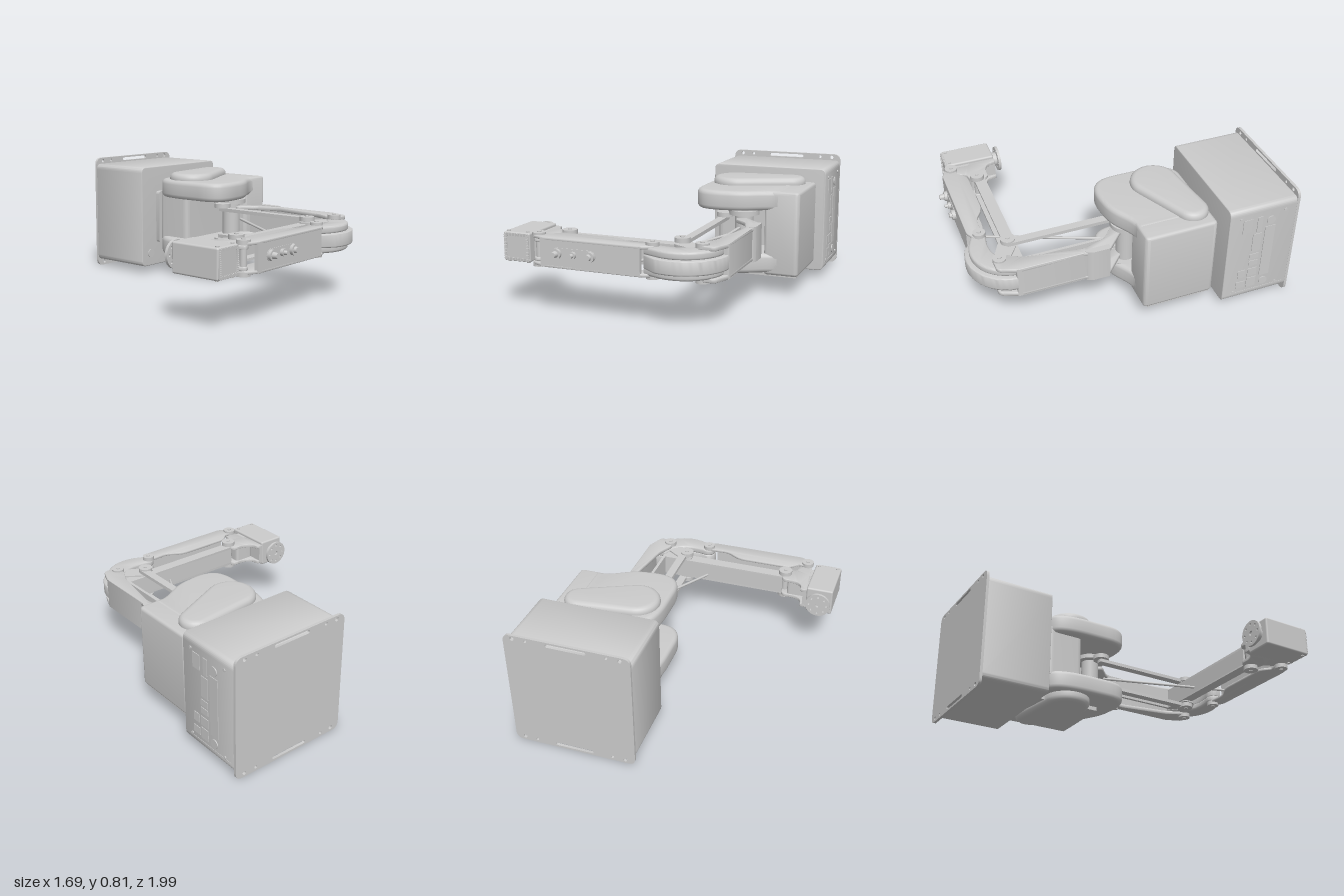
import * as THREE from 'three';
import { toCreasedNormals } from 'three/addons/utils/BufferGeometryUtils.js';
import { RoundedBoxGeometry } from 'three/addons/geometries/RoundedBoxGeometry.js';

const grey = new THREE.MeshStandardMaterial({ color: 0xcccccc, side: THREE.DoubleSide });
const MID = 0.4; // height of the arm's centre plane

// Closed outline through points [x, y, cornerRadius]
function outline(pts, r = 0) {
  const s = new THREE.Shape();
  const v = pts.map(p => new THREE.Vector2(p[0], p[1]));
  v.forEach((p, i) => {
    const a = v[(i + v.length - 1) % v.length], b = v[(i + 1) % v.length];
    const k = pts[i][2] ?? r;
    const p0 = p.clone().lerp(a, Math.min(0.5, k / p.distanceTo(a)));
    const p1 = p.clone().lerp(b, Math.min(0.5, k / p.distanceTo(b)));
    if (i) s.lineTo(p0.x, p0.y); else s.moveTo(p0.x, p0.y);
    if (k) s.quadraticCurveTo(p.x, p.y, p1.x, p1.y);
  });
  s.closePath();
  return s;
}
const rect = (x0, y0, x1, y1, r) => outline([[x0, y0], [x1, y0], [x1, y1], [x0, y1]], r);

// Outline around two circles
function hull(ax, ay, ra, bx, by, rb) {
  const t = Math.atan2(by - ay, bx - ax);
  const f = Math.acos((ra - rb) / Math.hypot(bx - ax, by - ay));
  const s = new THREE.Shape();
  s.absarc(ax, ay, ra, t + f, t - f + Math.PI * 2, false);
  s.absarc(bx, by, rb, t - f, t + f, false);
  s.closePath();
  return s;
}
function hole(shape, x, y, r) {
  shape.holes.push(new THREE.Path().absarc(x, y, r, 0, Math.PI * 2, true));
}

export function createModel() {
  const model = new THREE.Group();
  const add = (name, geo, x = 0, y = 0, z = 0) => {
    const m = new THREE.Mesh(geo, grey);
    m.name = name;
    m.position.set(x, y, z);
    model.add(m);
    return m;
  };
  const extrude = (shape, depth, bevel) => {
    const g = new THREE.ExtrudeGeometry(shape, {
      depth: depth - 2 * bevel, curveSegments: 14, bevelEnabled: bevel > 0,
      bevelThickness: bevel, bevelSize: bevel, bevelOffset: -bevel, bevelSegments: 4 });
    g.translate(0, 0, bevel);
    return toCreasedNormals(g, 0.6);
  };
  // Plan outline (x, z) raised from y0 to y1
  const slab = (name, shape, y0, y1, bevel = 0) =>
    add(name, extrude(shape, y1 - y0, bevel).rotateX(Math.PI / 2), 0, y1, 0);
  // Front outline (x, y) run from z0 to z1
  const deep = (name, shape, z0, z1, bevel = 0) => add(name, extrude(shape, z1 - z0, bevel), 0, 0, z0);
  // Matching slabs above and below the arm's centre plane
  const pair = (name, shape, d0, d1, bevel) => {
    slab(name + 'Upper', shape, MID + d0, MID + d1, bevel);
    slab(name + 'Lower', shape, MID - d1, MID - d0, bevel);
  };
  const box = (name, x0, x1, y0, y1, z0, z1) =>
    add(name, new THREE.BoxGeometry(x1 - x0, y1 - y0, z1 - z0), (x0 + x1) / 2, (y0 + y1) / 2, (z0 + z1) / 2);
  const cyl = (name, r, len, axis, x, y, z, r2 = r) => {
    const g = new THREE.CylinderGeometry(r2, r, len, 28);
    if (axis === 'z') g.rotateX(Math.PI / 2);
    if (axis === 'x') g.rotateZ(-Math.PI / 2);
    return add(name, g, x, y, z);
  };
  const rod = (name, a, b, r) => add(name, new THREE.TubeGeometry(
    new THREE.LineCurve3(new THREE.Vector3(...a), new THREE.Vector3(...b)), 1, r, 10));

  // Wall plate with bolt holes and slots
  const plate = rect(0.035, 0, 0.84, 0.81, 0.05);
  for (const y of [0.025, 0.787]) {
    for (const [x, r] of [[0.098, 0.013], [0.182, 0.01], [0.693, 0.01], [0.778, 0.013]]) hole(plate, x, y, r);
    plate.holes.push(hull(0.32, y, 0.011, 0.555, y, 0.011));
  }
  deep('wallPlate', plate, -1, -0.982);

  // Controller housing
  deep('controllerHousing', rect(0.035, 0.05, 0.84, 0.767, 0.04), -0.985, -0.525, 0.006);
  cyl('housingCap', 0.03, 0.008, 'z', 0.125, 0.14, -0.524);

  // Connectors on the side panel: [z, y, width, height]
  const ports = [[-0.65, 0.635, 0.065, 0.1], [-0.733, 0.633, 0.035, 0.11], [-0.725, 0.49, 0.06, 0.14],
    [-0.81, 0.4, 0.07, 0.4], [-0.72, 0.38, 0.065, 0.04], [-0.72, 0.325, 0.065, 0.04],
    [-0.72, 0.25, 0.065, 0.06], [-0.72, 0.165, 0.065, 0.075], [-0.645, 0.25, 0.05, 0.06], [-0.645, 0.16, 0.06, 0.05]];
  for (const [z, y, w, h] of ports) box('port', 0.837, 0.844, y - h / 2, y + h / 2, z - w / 2, z + w / 2);
  for (const y of [0.645, 0.15]) cyl('roundPort', 0.03, 0.01, 'x', 0.841, y, -0.81);
  for (const y of [0.11, 0.7]) for (const z of [-0.6, -0.905]) cyl('panelScrew', 0.01, 0.008, 'x', 0.841, y, z);
  box('panelSeam', 0.838, 0.842, 0.098, 0.102, -0.96, -0.58);

  // Mount between housing and shoulder
  deep('mountFlange', rect(0.17, 0.22, 0.58, 0.59, 0.02), -0.513, -0.482);
  cyl('mountNeck', 0.1, 0.08, 'z', 0.45, MID, -0.49);
  rod('rearCable', [0.65, 0.5, -0.46], [0.69, 0.5, -0.535], 0.007);

  // Shoulder body: two fork lobes, side block and rear web
  const lobe = [[0.17, -0.475, 0.08], [0.68, -0.475, 0.03], [0.68, 0, 0.03], [0.6, 0, 0.08],
    [0.43, 0.1, 0.08], [0.2, 0.125, 0.12], [0.1, 0.04, 0.1], [0.1, -0.34, 0.14]];
  slab('upperLobe', outline(lobe), 0.56, 0.688, 0.03);
  slab('lowerLobe', outline(lobe), 0.145, 0.275, 0.03);
  slab('sideBlock', rect(0.56, -0.475, 0.79, 0, 0.03), 0.13, 0.685, 0.02);
  slab('rearWeb', rect(0.17, -0.475, 0.68, -0.22, 0.04), 0.25, 0.6);
  box('lowerStep', 0.3, 0.775, 0.118, 0.16, -0.46, -0.03);
  const cover = hull(0.285, -0.27, 0.155, 0.635, -0.37, 0.1);
  slab('upperCover', cover, 0.65, 0.733, 0.035);
  slab('lowerCover', cover, 0.083, 0.18, 0.035);

  // Shoulder joint
  cyl('shoulderAxle', 0.06, 0.32, 'y', 0.42, MID, -0.02);
  for (const s of [-1, 1]) {
    cyl('shoulderDisc', 0.1, 0.03, 'y', 0.42, MID + s * 0.14, -0.02);
    cyl('driveDisc', 0.055, 0.03, 'y', 0.295, MID + s * 0.12, 0);
  }

  // Upper arm: hooked side plates, outer web and a rounded elbow band
  const hook = (grow) => {
    const s = new THREE.Shape();
    const R = 0.275 + grow, cx = 0.3, cz = 0.715;
    s.moveTo(cx + R, cz - 0.02);
    s.absarc(cx, cz, R, 0, Math.PI * 0.62, false);
    s.lineTo(0.11, 0.9);
    s.quadraticCurveTo(0.1, 0.83, 0.16, 0.82);
    s.quadraticCurveTo(0.38, 0.88, 0.44, 0.7);
    s.closePath();
    return s;
  };
  slab('elbowBand', hook(0), 0.352, 0.44, 0.01);
  pair('elbowShell', hook(-0.03), 0.035, 0.085, 0.015);
  const armPlate = outline([[0.43, 0, 0.03], [0.47, 0.04, 0.03], [0.59, 0.15, 0.02], [0.59, 0.26, 0.02],
    [0.575, 0.3, 0.02], [0.575, 0.73, 0.02], [0.53, 0.85, 0.03], [0.42, 0.85, 0.03], [0.42, 0.76, 0.02],
    [0.47, 0.66, 0.03], [0.53, 0.3, 0.04], [0.48, 0.15, 0.03], [0.38, 0.06, 0.03]]);
  pair('armPlate', armPlate, 0.08, 0.107, 0.006);
  slab('armWeb', outline([[0.54, 0.15], [0.575, 0.15], [0.575, 0.74], [0.52, 0.74]], 0.01), 0.295, 0.505);
  slab('shoulderBracket', outline([[0.55, 0.14], [0.592, 0.145], [0.592, 0.26], [0.575, 0.3], [0.55, 0.3]], 0.01), 0.285, 0.51);
  box('innerRail', 0.43, 0.45, 0.33, 0.47, 0.14, 0.72);

  // Parallel linkage
  pair('driveBar', rect(0.268, -0.02, 0.322, 0.73, 0.02), 0.082, 0.105);
  pair('rocker', outline([[0.23, 0.67], [0.32, 0.67], [0.48, 0.78], [0.47, 0.85], [0.4, 0.84], [0.24, 0.76]], 0.03), 0.06, 0.08);
  pair('couplerFlange', rect(-0.48, 0.66, 0.44, 0.735, 0.02), 0.055, 0.07);
  box('couplerWeb', -0.46, 0.43, 0.34, 0.46, 0.66, 0.675);
  rod('gasStrut', [0.4, 0.42, 0.08], [0, 0.36, 0.86], 0.009);

  // Forearm channel, open towards the rear
  const forearm = outline([[-0.6, 0.825, 0.03], [-0.54, 0.83], [-0.48, 0.775, 0.03], [-0.1, 0.775, 0.05],
    [0, 0.84, 0.04], [0.18, 0.83, 0.03], [0.185, 0.89, 0.03], [0.11, 0.932, 0.02], [-0.54, 0.932, 0.02], [-0.64, 0.89, 0.04]]);
  pair('forearmFlange', forearm, 0.074, 0.092, 0.004);
  box('forearmFace', -0.555, 0.1, 0.312, 0.488, 0.905, 0.932);
  deep('buttonPanel', hull(-0.44, MID, 0.036, -0.22, MID, 0.036), 0.93, 0.936);
  for (const [x, r, h] of [[-0.44, 0.033, 0.05], [-0.33, 0.022, 0.04], [-0.22, 0.034, 0.035]]) {
    cyl('buttonBase', r, 0.02, 'z', x, MID, 0.945);
    cyl('buttonCap', r * 0.7, h, 'z', x, MID, 0.936 + h / 2, r * 0.5);
  }

  // Pivot pins with caps: [x, z, radius, half height]
  const pivots = [[0.15, 0.86, 0.04, 0.11], [0.44, 0.81, 0.042, 0.118], [0.275, 0.71, 0.047, 0.115],
    [-0.47, 0.71, 0.047, 0.1], [-0.6, 0.86, 0.042, 0.105]];
  for (const [x, z, r, h] of pivots) {
    cyl('pivotPin', r * 0.5, 2 * h, 'y', x, MID, z);
    for (const s of [-1, 1]) {
      cyl('pivotCap', r, 0.028, 'y', x, MID + s * (h - 0.014), z);
      cyl('pivotBolt', 0.013, 0.008, 'y', x, MID + s * (h + 0.002), z);
    }
  }

  // Wrist bracket
  const wrist = outline([[-0.66, 0.54], [-0.62, 0.54, 0.01], [-0.61, 0.6, 0.04], [-0.56, 0.63, 0.03], [-0.47, 0.63, 0.03],
    [-0.43, 0.72, 0.04], [-0.48, 0.76, 0.03], [-0.54, 0.77, 0.03], [-0.56, 0.87, 0.03], [-0.62, 0.9, 0.03],
    [-0.64, 0.82, 0.02], [-0.64, 0.73, 0.01], [-0.66, 0.72]]);
  pair('wristPlate', wrist, 0.05, 0.072, 0.003);
  box('wristWeb', -0.662, -0.635, 0.33, 0.47, 0.54, 0.82);
  slab('wristCore', outline([[-0.64, 0.64], [-0.5, 0.64], [-0.5, 0.74], [-0.56, 0.77], [-0.64, 0.82]], 0.02), 0.34, 0.46);

  // Wrist motor with a vent rim and output flange
  add('wristMotor', new RoundedBoxGeometry(0.185, 0.185, 0.335, 3, 0.012), -0.753, 0.398, 0.708);
  const rim = rect(-0.84, 0.311, -0.666, 0.485, 0.01);
  rim.holes.push(rect(-0.82, 0.331, -0.686, 0.465, 0.008));
  deep('ventRim', rim, 0.87, 0.878);
  for (let i = 0; i < 14; i++) for (const s of [-1, 1]) {
    const t = -0.072 + i * 0.0111;
    box('ventTooth', -0.753 + t - 0.003, -0.753 + t + 0.003, 0.398 + s * 0.077 - 0.008, 0.398 + s * 0.077 + 0.008, 0.875, 0.884);
    box('ventTooth', -0.753 + s * 0.077 - 0.008, -0.753 + s * 0.077 + 0.008, 0.398 + t - 0.003, 0.398 + t + 0.003, 0.875, 0.884);
  }
  for (const x of [-0.82, -0.686]) for (const s of [-1, 1]) cyl('motorScrew', 0.011, 0.01, 'y', x, 0.398 + s * 0.094, 0.85);
  cyl('motorNeck', 0.048, 0.05, 'z', -0.755, 0.398, 0.525);
  const flange = new THREE.Shape().absarc(-0.755, 0.398, 0.086, 0, Math.PI * 2, false);
  hole(flange, -0.755, 0.398, 0.016);
  for (let i = 0; i < 8; i++) {
    const a = i * Math.PI / 4;
    hole(flange, -0.755 + 0.062 * Math.cos(a), 0.398 + 0.062 * Math.sin(a), 0.008);
  }
  deep('outputFlange', flange, 0.485, 0.503);
  return model;
}
